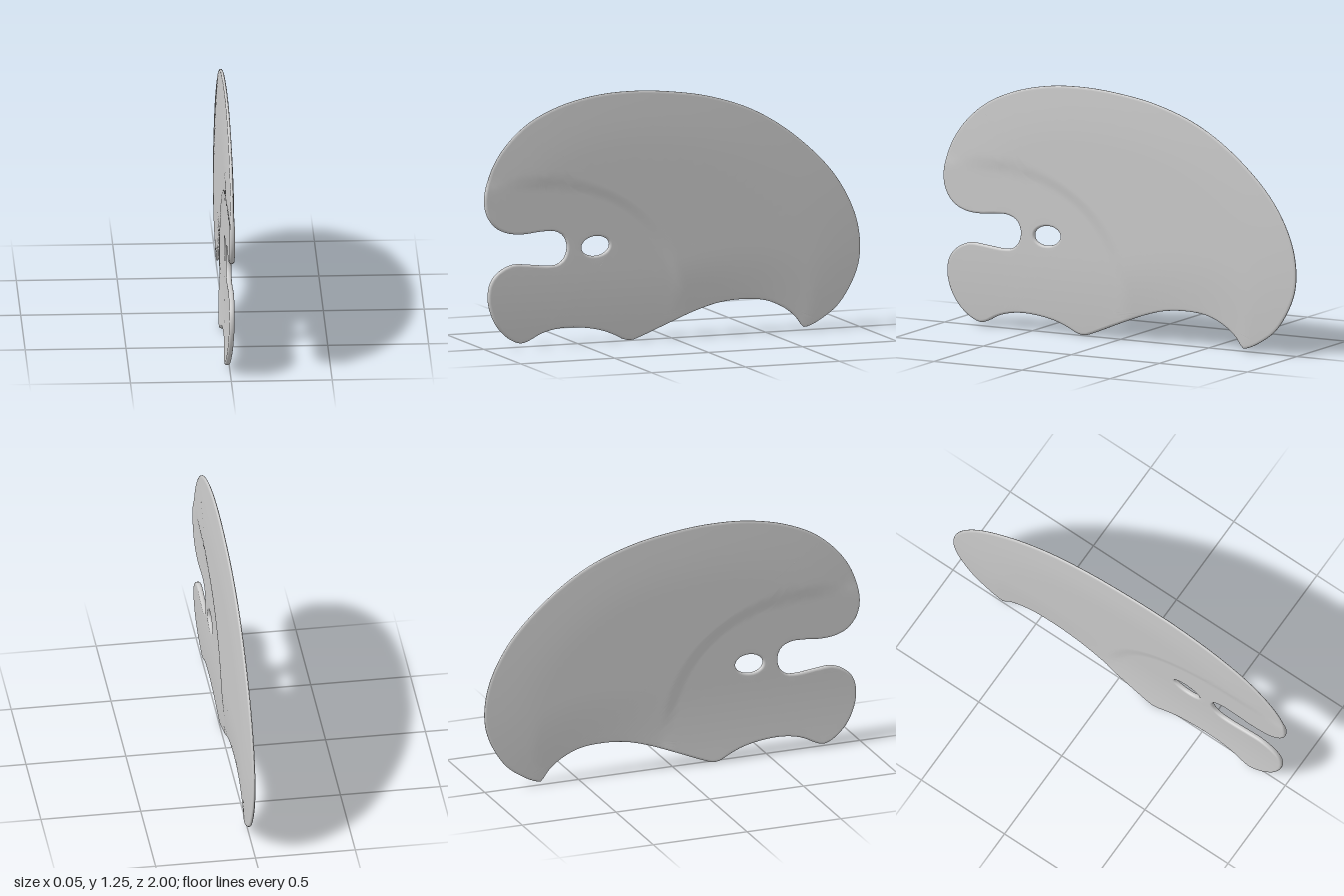
import * as THREE from 'three';
import { mergeVertices } from 'three/addons/utils/BufferGeometryUtils.js';

// Outline as [z, y], from the rear tip over the crown, round the notch and back under
const OUTLINE = [
  [-.70, .02], [-.735, .027], [-.80, .06], [-.88, .12], [-.95, .22], [-.99, .32], [-1, .42], [-.98, .55],
  [-.92, .69], [-.82, .83], [-.62, 1.01], [-.42, 1.13], [-.2, 1.205], [0, 1.24], [.2, 1.255], [.4, 1.245],
  [.6, 1.2], [.77, 1.12], [.9, 1.0], [.97, .88], [1, .75], [.985, .67], [.94, .61], [.88, .58],
  [.8, .57], [.7, .578], [.63, .577], [.58, .55], [.56, .495], [.575, .44], [.61, .41], [.66, .405],
  [.76, .415], [.85, .42], [.92, .39], [.965, .34], [.98, .26], [.96, .17], [.92, .1], [.86, .045],
  [.8, .02], [.76, .03], [.69, .065], [.6, .085], [.5, .085], [.38, .065], [.3, .035], [.25, .01],
  [.21, .004], [.16, .02], [0, .085], [-.13, .135], [-.25, .168], [-.38, .178], [-.5, .165], [-.6, .12],
  [-.66, .07], [-.69, .028],
];

// Split long triangle edges at their midpoints until all are short enough
function tessellate(geometry, maxEdge) {
  const p = geometry.toNonIndexed === undefined || !geometry.index
    ? geometry.attributes.position : geometry.toNonIndexed().attributes.position;
  const at = (i) => new THREE.Vector3().fromBufferAttribute(p, i);
  const stack = [];
  const out = [];
  for (let i = 0; i < p.count; i += 3) stack.push([at(i), at(i + 1), at(i + 2)]);
  while (stack.length) {
    const t = stack.pop();
    const len = [0, 1, 2].map((k) => t[k].distanceTo(t[(k + 1) % 3]));
    const k = len.indexOf(Math.max(...len));
    if (len[k] <= maxEdge) {
      t.forEach((v) => out.push(v.x, v.y, v.z));
      continue;
    }
    const a = t[k], b = t[(k + 1) % 3], c = t[(k + 2) % 3];
    const m = a.clone().add(b).multiplyScalar(0.5);
    stack.push([a, m, c], [m, b, c]);
  }
  const result = new THREE.BufferGeometry();
  result.setAttribute('position', new THREE.Float32BufferAttribute(out, 3));
  return result;
}

// Thin crown rim swelling inwards, even grip area, lower edge bent sideways
function sculpt(geometry, rim) {
  const p = geometry.attributes.position;
  const { smoothstep, lerp } = THREE.MathUtils;
  for (let i = 0; i < p.count; i++) {
    const y = p.getY(i), z = p.getZ(i);
    let d = Infinity;
    for (const r of rim) d = Math.min(d, Math.hypot(r.x + z, r.y - y));
    const rho = Math.pow(Math.abs((z - 0.85) / 0.9), 2.5) + Math.pow(Math.abs(y / 0.83), 2.5);
    const crown = smoothstep(rho, 0.9, 1.08);
    const lens = lerp(0.5, 1.4, Math.sin(Math.min(d / 0.3, 1) * Math.PI / 2));
    const low = Math.max(0, (0.4 - y) / 0.4);
    const bend = 0.006 - 0.022 * low * low * smoothstep(z, -0.7, 0.1);
    p.setX(i, p.getX(i) * lerp(0.95, lens, crown) + bend);
  }
}

export function createModel() {
  const group = new THREE.Group();
  const curve = new THREE.CatmullRomCurve3(
    OUTLINE.map(([z, y]) => new THREE.Vector3(-z, y, 0)), true, 'centripetal');
  const rim = curve.getSpacedPoints(300).slice(0, -1).map((v) => new THREE.Vector2(v.x, v.y));

  // Plate with an oval hole behind the notch
  const shape = new THREE.Shape(rim);
  const hole = new THREE.Path();
  hole.absellipse(-0.41, 0.49, 0.075, 0.05, 0, Math.PI * 2, true, 0.08);
  shape.holes.push(hole);

  const depth = 0.006;
  const solid = new THREE.ExtrudeGeometry(shape, {
    depth, curveSegments: 20, bevelEnabled: true, bevelSegments: 4,
    bevelThickness: 0.011, bevelSize: 0.012, bevelOffset: -0.012,
  });
  solid.translate(0, 0, -depth / 2);
  solid.rotateY(Math.PI / 2);

  const geometry = mergeVertices(tessellate(solid, 0.05), 1e-5);
  sculpt(geometry, rim);
  geometry.computeVertexNormals();

  const plate = new THREE.Mesh(geometry, new THREE.MeshStandardMaterial({ color: 0xcccccc }));
  plate.name = 'curvedPlate';
  group.add(plate);
  return group;
}
